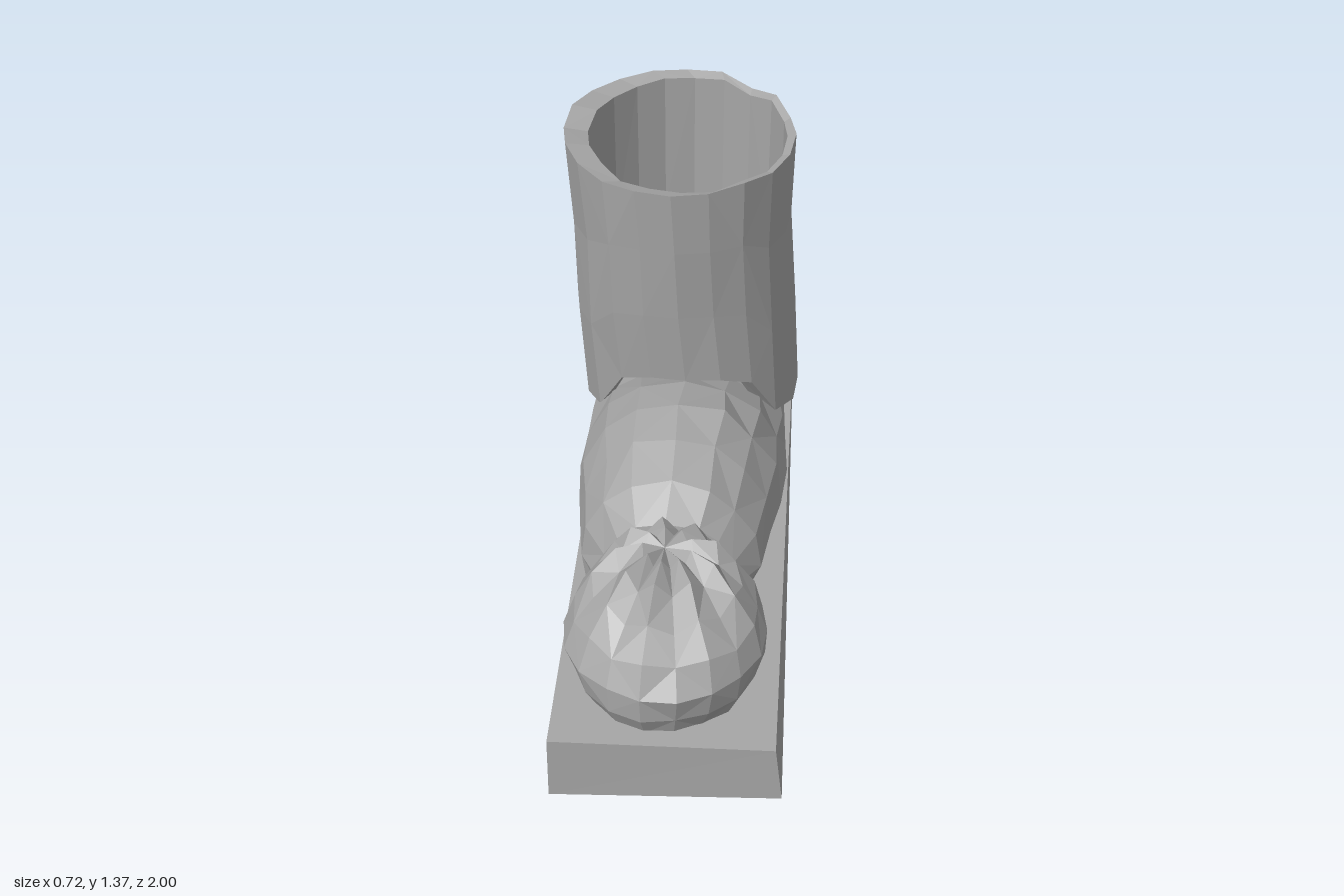
import * as THREE from 'three';

const { sin, cos, PI, sign, abs, pow } = Math;

// Small repeatable irregularity in -1..1
let seed = 7;
function wobble() {
  seed = (seed * 16807) % 2147483647;
  return (seed / 2147483647) * 2 - 1;
}

// Skins a list of equal-length point rings; optional points close the two ends
function loft(rings, startTip, endTip) {
  const pos = [];
  const tri = (a, b, c) => pos.push(...a, ...b, ...c);
  const n = rings[0].length;
  for (let j = 0; j < n; j++) {
    const k = (j + 1) % n;
    for (let i = 0; i + 1 < rings.length; i++) {
      const a = rings[i][j], b = rings[i][k], c = rings[i + 1][k], d = rings[i + 1][j];
      if ((i + j) % 2) { tri(a, b, c); tri(a, c, d); }
      else { tri(a, b, d); tri(b, c, d); }
    }
    if (startTip) tri(startTip, rings[0][k], rings[0][j]);
    if (endTip) tri(endTip, rings[rings.length - 1][j], rings[rings.length - 1][k]);
  }
  const g = new THREE.BufferGeometry();
  g.setAttribute('position', new THREE.Float32BufferAttribute(pos, 3));
  g.computeVertexNormals();
  return g;
}

// Horizontal ring around (cx, cz); yAt may be a number or a function of the angle
function flatRing(n, cx, cz, rx, rz, yAt, jitter = 0) {
  return Array.from({ length: n }, (_, j) => {
    const a = (j / n) * 2 * PI;
    const r = 1 + jitter * wobble();
    return [cx + rx * r * cos(a), typeof yAt === 'function' ? yAt(a, j) : yAt, cz - rz * r * sin(a)];
  });
}

export function createModel() {
  const model = new THREE.Group();
  const stone = new THREE.MeshStandardMaterial({ color: 0xa6a6a6, flatShading: true });
  stone.name = 'grey stone';
  const add = (name, geometry) => {
    const mesh = new THREE.Mesh(geometry, stone);
    mesh.name = name;
    model.add(mesh);
  };

  // Slightly skewed base slab
  const slab = new THREE.BoxGeometry(2, 2, 2);
  const p = slab.attributes.position;
  for (let i = 0; i < p.count; i++) {
    const x = p.getX(i), y = p.getY(i), z = p.getZ(i);
    const right = x > 0, top = y > 0, front = z > 0;
    p.setXYZ(i,
      right ? (front && !top ? 0.36 : 0.34) : -0.28,
      top ? (right ? 0.23 : 0.24) : (right ? 0.055 : 0.045),
      front ? (right ? 0.985 : 1) : (right && top ? -0.98 : -1));
  }
  slab.computeVertexNormals();
  add('baseSlab', slab);

  // Shallow bulge under the slab
  add('undersideBulge', loft([
    flatRing(12, 0.06, -0.2, 0.08, 0.18, 0.012, 0.1),
    flatRing(12, 0.05, -0.14, 0.15, 0.32, 0.032, 0.08),
    flatRing(12, 0.04, -0.12, 0.18, 0.42, 0.06),
  ], [0.06, 0, -0.28]));

  // Foot: cross-sections from heel to instep [z, centre x, half width, widest y, top y, bottom y]
  const footSections = [
    [-0.95, 0.01, 0.08, 0.36, 0.42, 0.29],
    [-0.91, 0.01, 0.17, 0.37, 0.50, 0.24],
    [-0.82, 0.02, 0.24, 0.37, 0.57, 0.22],
    [-0.66, 0.02, 0.28, 0.37, 0.60, 0.22],
    [-0.45, 0.02, 0.30, 0.37, 0.60, 0.22],
    [-0.25, 0.02, 0.31, 0.37, 0.62, 0.22],
    [-0.08, 0.02, 0.31, 0.38, 0.70, 0.22],
    [0.08, 0.02, 0.30, 0.38, 0.73, 0.22],
    [0.22, 0.02, 0.28, 0.38, 0.70, 0.22],
    [0.36, 0.01, 0.26, 0.37, 0.65, 0.22],
    [0.46, 0.01, 0.20, 0.37, 0.58, 0.22],
  ];
  const footN = 16;
  const foot = footSections.map(([z, cx, hw, mid, top, bottom]) =>
    Array.from({ length: footN }, (_, j) => {
      const a = (j / footN) * 2 * PI, c = cos(a), s = sin(a);
      const y = s > 0 ? mid + (top - mid) * s : mid + (mid - bottom) * sign(s) * pow(abs(s), 0.8);
      return [cx + hw * sign(c) * pow(abs(c), 0.9) + 0.008 * wobble(), y + 0.006 * wobble(), z + 0.012 * wobble()];
    }));
  add('foot', loft(foot, [0.01, 0.35, -0.96], [0.01, 0.4, 0.5]));

  // Rounded toe cap, gathered into pleats around a dimple [y, rx, rz, centre z, pleat depth]
  const toeSections = [
    [0.22, 0.23, 0.27, 0.66, 0],
    [0.29, 0.27, 0.31, 0.65, 0],
    [0.37, 0.285, 0.315, 0.65, 0],
    [0.45, 0.26, 0.28, 0.64, 0.008],
    [0.52, 0.205, 0.22, 0.63, 0.014],
    [0.575, 0.14, 0.15, 0.6, 0.022],
    [0.59, 0.07, 0.075, 0.58, 0.015],
  ];
  add('toeCap', loft(toeSections.map(([y, rx, rz, cz, pleat]) =>
    flatRing(18, 0.02, cz, rx, rz, (a, j) => y + (j % 2 ? pleat : -pleat), 0.03)),
  null, [0.01, 0.575, 0.56]));

  // Open ankle tube: outer wall up, ragged rim, inner wall down
  const n = 20;
  const hem = (a) => {
    const t = THREE.MathUtils.smoothstep(-sin(a), 0.5, 0.9);
    return 0.485 + 0.19 * t + 0.015 * sin(a * 3);
  };
  const rim = Array.from({ length: n }, () => 1.355 + 0.014 * wobble());
  const between = (t) => (a, j) => hem(a) + (rim[j] - hem(a)) * t;
  const shaft = [
    flatRing(n, 0.025, -0.45, 0.335, 0.35, between(0), 0.012),
    flatRing(n, 0.005, -0.445, 0.335, 0.365, between(0.35), 0.012),
    flatRing(n, -0.005, -0.435, 0.33, 0.375, between(0.7), 0.012),
    flatRing(n, -0.015, -0.43, 0.345, 0.38, between(1), 0.012),
    flatRing(n, 0.01, -0.435, 0.295, 0.345, (a, j) => rim[j] - 0.012, 0.01),
    flatRing(n, 0.01, -0.44, 0.29, 0.34, between(0.5), 0.01),
    flatRing(n, 0.01, -0.44, 0.285, 0.33, between(0.02), 0.01),
  ];
  shaft.push(shaft[0]);
  add('ankleTube', loft(shaft));

  return model;
}
